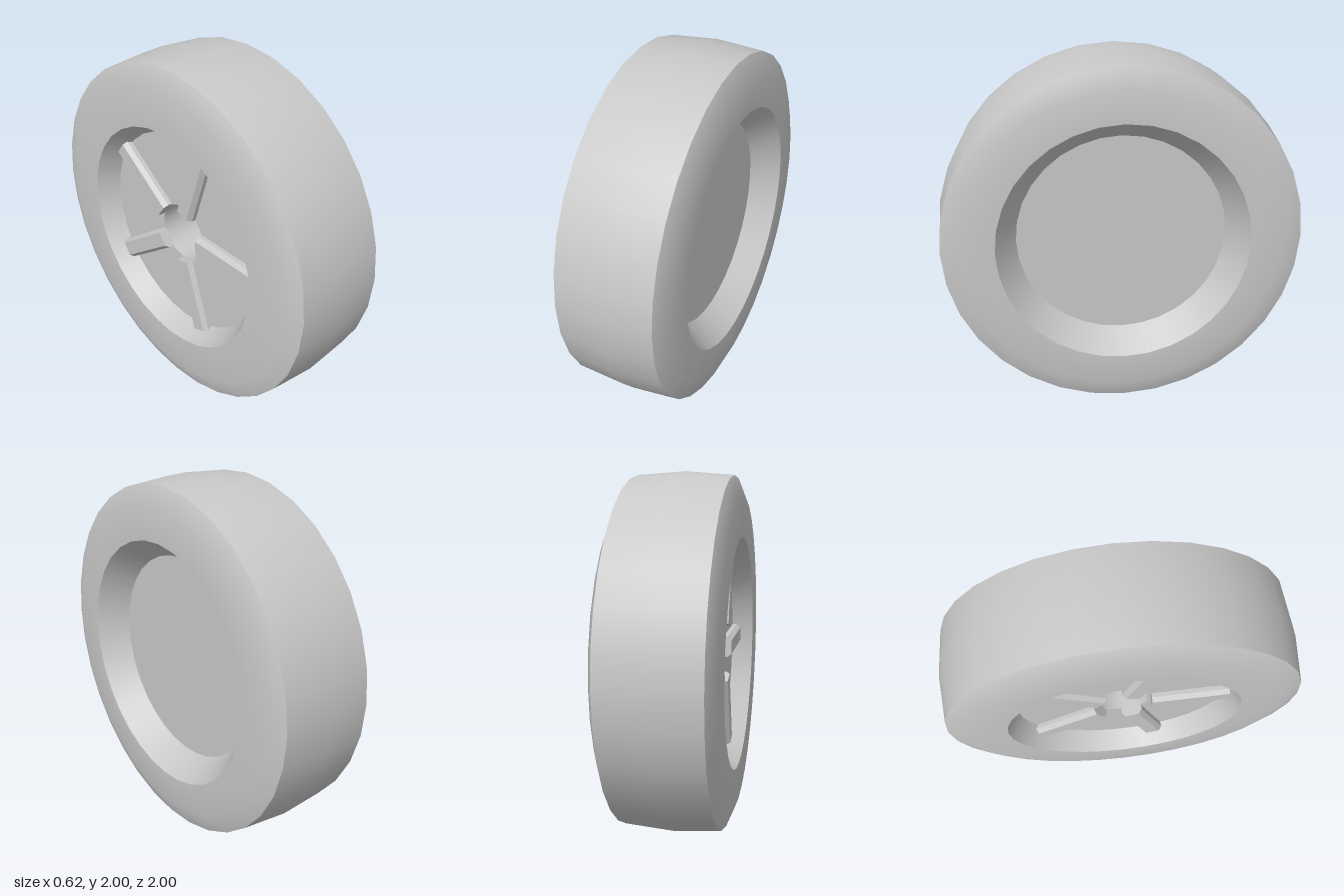
import * as THREE from 'three';

const SEGMENTS = 32;

export function createModel() {
  const model = new THREE.Group();
  model.name = 'wheel';
  const grey = new THREE.MeshStandardMaterial({ color: 0xc8c8c8 });
  grey.name = 'plain grey';

  // Each section is smooth in itself; [radius, x] points turn about the axle
  const sections = {
    tread: [[0.98, -0.265], [1, 0], [0.98, 0.265]],
    plainSidewall: [[0.98, 0.265], [0.87, 0.31], [0.69, 0.31]],
    plainRim: [[0.69, 0.31], [0.58, 0.155]],
    plainDisc: [[0.58, 0.155], [0, 0.155]],
    hubFloor: [[0, 0.03], [0.165, 0.03]],
    hubWall: [[0.165, 0.03], [0.165, -0.19]],
    spokedDisc: [[0.165, -0.19], [0.585, -0.19]],
    spokedRim: [[0.585, -0.19], [0.65, -0.31]],
    spokedSidewall: [[0.65, -0.31], [0.87, -0.31], [0.98, -0.265]],
  };
  const wheel = new THREE.Group();
  wheel.name = 'wheelBody';
  for (const [name, profile] of Object.entries(sections)) {
    const points = profile.map(([r, x]) => new THREE.Vector2(r, x));
    const geometry = new THREE.LatheGeometry(points, SEGMENTS);
    geometry.rotateZ(-Math.PI / 2);
    const mesh = new THREE.Mesh(geometry, grey);
    mesh.name = name;
    wheel.add(mesh);
  }
  model.add(wheel);

  // Five bevelled spokes around the hub recess
  const section = new THREE.Shape([
    [-0.18, -0.06], [-0.18, 0.06], [-0.215, 0.06],
    [-0.24, 0.04], [-0.24, -0.04], [-0.215, -0.06],
  ].map(([x, y]) => new THREE.Vector2(x, y)));
  const spokeGeometry = new THREE.ExtrudeGeometry(section, { depth: 0.435, bevelEnabled: false });
  spokeGeometry.translate(0, 0, 0.16);
  for (let i = 0; i < 5; i++) {
    const spoke = new THREE.Mesh(spokeGeometry, grey);
    spoke.name = 'spoke';
    spoke.rotation.x = -i * Math.PI * 2 / 5;
    model.add(spoke);
  }

  model.position.y = 1;
  const root = new THREE.Group();
  root.name = 'model';
  root.add(model);
  return root;
}
